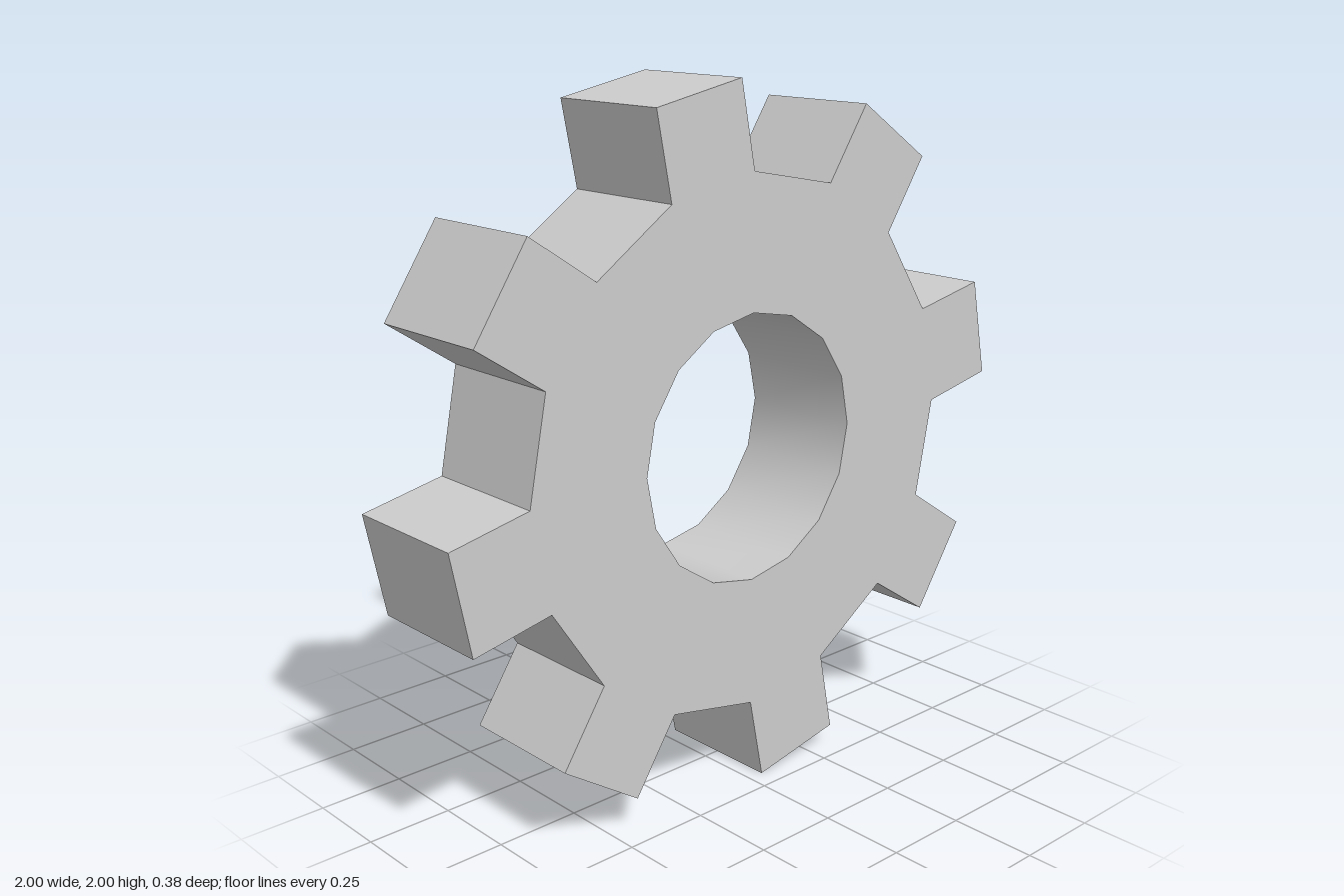
import * as THREE from 'three';
import { toCreasedNormals } from 'three/addons/utils/BufferGeometryUtils.js';

const TEETH = 8, ROOT_RADIUS = 0.758, TIP_DISTANCE = 0.99, BORE_RADIUS = 0.381, DEPTH = 0.38;

export function createModel() {
  const group = new THREE.Group();
  group.name = 'gear';

  // Outline: straight-sided teeth, each half of the pitch wide at the root
  const pitch = (2 * Math.PI) / TEETH;
  const halfWidth = ROOT_RADIUS * Math.sin(pitch / 4);
  const rootDistance = ROOT_RADIUS * Math.cos(pitch / 4);
  const outline = [];
  for (let i = 0; i < TEETH; i++) {
    const angle = (i + 0.25) * pitch;
    for (const [r, w] of [[rootDistance, -1], [TIP_DISTANCE, -1], [TIP_DISTANCE, 1], [rootDistance, 1]]) {
      outline.push(new THREE.Vector2(r, w * halfWidth).rotateAround(new THREE.Vector2(), angle));
    }
  }
  const shape = new THREE.Shape(outline);

  // Sixteen-sided centre bore
  const bore = [];
  for (let i = 0; i < 16; i++) {
    const a = (-i * Math.PI) / 8;
    bore.push(new THREE.Vector2(Math.cos(a) * BORE_RADIUS, Math.sin(a) * BORE_RADIUS));
  }
  shape.holes.push(new THREE.Path(bore));

  // Flat teeth and faces, smooth bore wall
  const solid = new THREE.ExtrudeGeometry(shape, { depth: DEPTH, bevelEnabled: false });
  solid.translate(0, 1, -DEPTH / 2);
  const wheel = new THREE.Mesh(
    toCreasedNormals(solid, Math.PI / 6),
    new THREE.MeshStandardMaterial({ color: 0xcccccc })
  );
  wheel.name = 'toothedWheel';
  group.add(wheel);
  return group;
}
